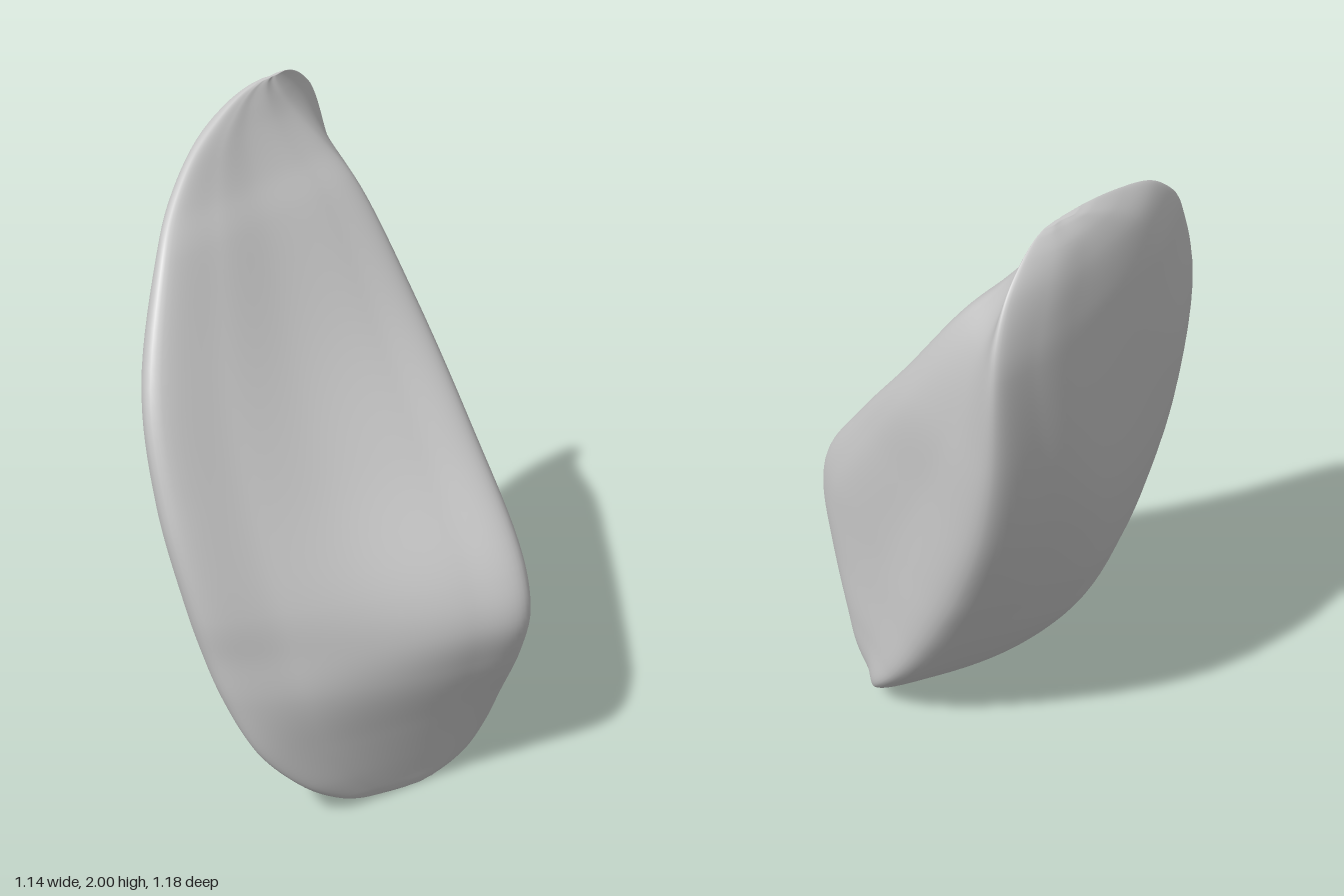
import * as THREE from 'three';

// Level sections, bottom to top: height, then (x, z) of the back edge,
// the middle of the outer face, the front edge and the side edge.
const SECTIONS = [
  [0.0, 0.305, -0.2, 0.27, -0.09, 0.265, 0.02, 0.315, -0.12],
  [0.02, 0.285, -0.29, 0.205, -0.09, 0.235, 0.12, 0.335, -0.2],
  [0.06, 0.245, -0.355, 0.13, -0.08, 0.215, 0.2, 0.355, -0.26],
  [0.15, 0.165, -0.41, 0.025, -0.07, 0.185, 0.31, 0.39, -0.29],
  [0.3, 0.035, -0.44, -0.12, -0.05, 0.13, 0.425, 0.45, -0.28],
  [0.5, -0.1, -0.46, -0.27, -0.04, 0.08, 0.5, 0.535, -0.25],
  [0.65, -0.19, -0.475, -0.345, -0.06, 0.05, 0.535, 0.567, -0.24],
  [0.8, -0.275, -0.49, -0.41, -0.08, 0.03, 0.565, 0.515, -0.26],
  [1.1, -0.415, -0.525, -0.5, -0.14, -0.04, 0.59, 0.265, -0.33],
  [1.4, -0.505, -0.56, -0.55, -0.25, -0.13, 0.55, -0.01, -0.4],
  [1.7, -0.547, -0.588, -0.57, -0.35, -0.25, 0.375, -0.26, -0.42],
  [1.8, -0.545, -0.578, -0.562, -0.33, -0.31, 0.275, -0.35, -0.385],
  [1.9, -0.53, -0.53, -0.54, -0.28, -0.37, 0.13, -0.42, -0.32],
  [1.96, -0.508, -0.46, -0.515, -0.27, -0.42, -0.03, -0.45, -0.29],
  [1.99, -0.49, -0.4, -0.492, -0.3, -0.45, -0.15, -0.465, -0.29],
  [2.0, -0.48, -0.36, -0.478, -0.3, -0.465, -0.23, -0.47, -0.3],
];
const AROUND = 112, UP = 112;

// Point part of the way from p to q, pushed outwards by a share of their distance
function between(p, q, t, bulge) {
  const d = q.clone().sub(p);
  return p.clone().addScaledVector(d, t)
    .add(new THREE.Vector3(-d.z, 0, d.x).multiplyScalar(bulge));
}

// Closed outline with three rounded corners
function outline([y, ax, az, mx, mz, bx, bz, cx, cz]) {
  const a = new THREE.Vector3(ax, y, az), m = new THREE.Vector3(mx, y, mz);
  const b = new THREE.Vector3(bx, y, bz), c = new THREE.Vector3(cx, y, cz);
  // The side face is fuller below its point, flatter above it, and creased low down
  const { clamp } = THREE.MathUtils;
  const full = clamp((1.2 - y) / 0.5, 0, 1);
  const crease = clamp(1 - Math.abs(y - 0.45) / 0.25, 0, 1);
  const back = 1 - 0.6 * clamp((y - 1.4) / 0.4, 0, 1);
  return new THREE.CatmullRomCurve3([
    a, between(a, m, 0.5, 0.06), m, between(m, b, 0.55, 0.11), b,
    between(b, c, 0.24, 0.04 + 0.025 * crease),
    between(b, c, 0.5, 0.035 + 0.015 * full + 0.02 * crease),
    between(b, c, 0.8, 0.03 + 0.015 * full),
    c, between(c, a, 0.2, 0.075 * back), between(c, a, 0.6, 0.045 * back),
  ], true, 'centripetal');
}

function bodyGeometry() {
  const outlines = SECTIONS.map(outline);
  const positions = [], index = [];
  // Smooth curves running up the body through all sections
  const columns = [];
  for (let j = 0; j < AROUND; j++) {
    columns.push(new THREE.CatmullRomCurve3(
      outlines.map((o) => o.getPoint(j / AROUND)), false, 'centripetal'));
  }
  for (let i = 0; i <= UP; i++) {
    for (const col of columns) {
      const p = col.getPoint(i / UP);
      positions.push(p.x, p.y, p.z);
    }
  }
  for (let i = 0; i < UP; i++) {
    for (let j = 0; j < AROUND; j++) {
      const k = (j + 1) % AROUND, r = i * AROUND, s = r + AROUND;
      index.push(r + j, r + k, s + j, r + k, s + k, s + j);
    }
  }
  // Close the small ends
  for (const [row, flip] of [[0, true], [UP, false]]) {
    const centre = new THREE.Vector3();
    for (const col of columns) centre.addScaledVector(col.getPoint(row / UP), 1 / AROUND);
    const c = positions.length / 3;
    positions.push(centre.x, centre.y, centre.z);
    for (let j = 0; j < AROUND; j++) {
      const p = row * AROUND + j, q = row * AROUND + (j + 1) % AROUND;
      if (flip) index.push(c, q, p); else index.push(c, p, q);
    }
  }
  const g = new THREE.BufferGeometry();
  g.setAttribute('position', new THREE.Float32BufferAttribute(positions, 3));
  g.setIndex(index);
  g.computeVertexNormals();
  return g;
}

export function createModel() {
  const group = new THREE.Group();
  group.name = 'smoothWedgeStone';
  const body = new THREE.Mesh(bodyGeometry(), new THREE.MeshStandardMaterial({ color: 0xcccccc }));
  body.name = 'stoneBody';
  group.add(body);
  return group;
}
